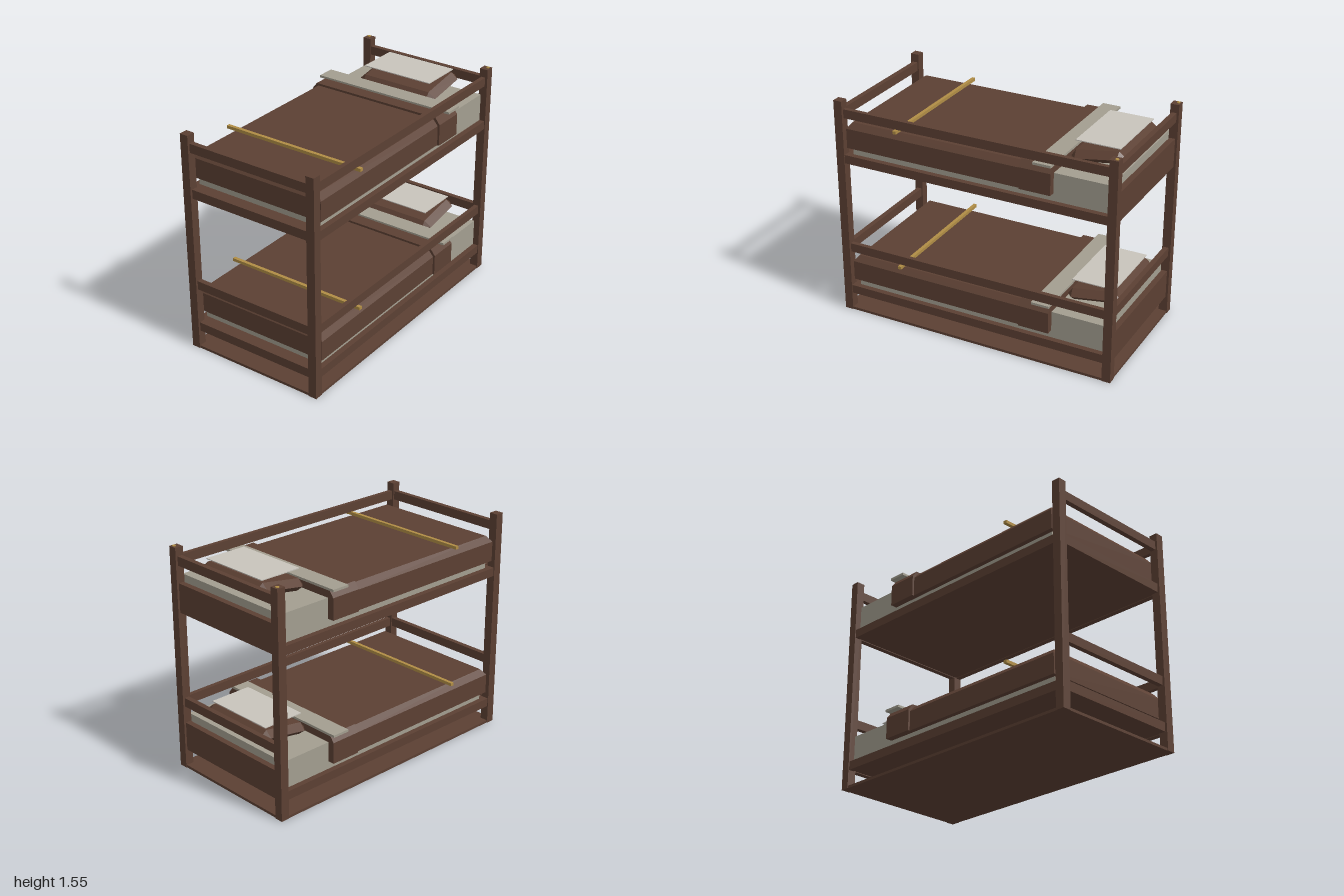
import * as THREE from 'three';
import { ConvexGeometry } from 'three/addons/geometries/ConvexGeometry.js';

const mat = (color) => new THREE.MeshStandardMaterial({ color, flatShading: true });

export function createModel() {
  const wood = mat(0x5c4033), linen = mat(0xa39e90), white = mat(0xc8c4bc), gold = mat(0xb08d45);
  const model = new THREE.Group();
  model.name = 'bunkBed';

  const add = (parent, name, geometry, material) => {
    const mesh = new THREE.Mesh(geometry, material);
    mesh.name = name;
    parent.add(mesh);
    return mesh;
  };
  // Box given by its minimum and maximum along each axis
  const box = (parent, name, material, [x0, x1], [y0, y1], [z0, z1]) => {
    const mesh = add(parent, name, new THREE.BoxGeometry(x1 - x0, y1 - y0, z1 - z0), material);
    mesh.position.set((x0 + x1) / 2, (y0 + y1) / 2, (z0 + z1) / 2);
    return mesh;
  };
  // Cover with straight sides, bevelled towards its top
  const cover = (parent, name, halfX, [y0, yBevel, y1], [z0, z1], insetX, insetZ) => {
    const points = [];
    for (const s of [-1, 1]) {
      for (const z of [z0, z1]) {
        points.push(new THREE.Vector3(s * halfX, y0, z), new THREE.Vector3(s * halfX, yBevel, z));
      }
      points.push(new THREE.Vector3(s * (halfX - insetX), y1, z0));
      points.push(new THREE.Vector3(s * (halfX - insetX), y1, z1 - insetZ));
    }
    return add(parent, name, new ConvexGeometry(points), wood);
  };

  // Corner posts, small caps on the back pair, and base
  for (const sx of [-1, 1]) {
    for (const sz of [-1, 1]) {
      const post = box(model, 'post', wood, [-0.03, 0.03], [0, 1.55], [-0.03, 0.03]);
      post.position.x = sx * 0.479;
      post.position.z = sz * 0.97;
    }
    const cap = add(model, 'postCap', new THREE.CylinderGeometry(0.012, 0.012, 0.01, 12), gold);
    cap.position.set(sx * 0.487, 1.55, -0.98);
  }
  box(model, 'base', wood, [-0.505, 0.505], [0, 0.018], [-0.995, 0.995]);

  // One bunk, with heights measured from the underside of its frame
  const makeBunk = (name, height) => {
    const bunk = new THREE.Group();
    bunk.name = name;
    bunk.position.y = height;
    model.add(bunk);

    // Frame: deck, low rails, guard rails and head panel
    box(bunk, 'deck', wood, [-0.47, 0.47], [0.005, 0.06], [-0.945, 0.945]);
    box(bunk, 'leftRail', wood, [0.465, 0.503], [0, 0.06], [-0.945, 0.945]);
    box(bunk, 'rightRail', wood, [-0.503, -0.465], [0, 0.06], [-0.945, 0.945]);
    box(bunk, 'footRail', wood, [-0.455, 0.455], [0, 0.063], [0.945, 0.985]);
    box(bunk, 'headPanel', wood, [-0.455, 0.455], [0, 0.2], [-0.985, -0.945]);
    box(bunk, 'footGuard', wood, [-0.455, 0.455], [0.318, 0.38], [0.95, 0.985]);
    box(bunk, 'headGuard', wood, [-0.455, 0.455], [0.318, 0.38], [-0.985, -0.95]);
    box(bunk, 'sideGuard', wood, [0.462, 0.492], [0.318, 0.38], [-0.945, 0.945]);

    // Bedding
    box(bunk, 'mattress', linen, [-0.465, 0.465], [0.055, 0.25], [-0.94, 0.895]);
    cover(bunk, 'blanket', 0.498, [0.113, 0.25, 0.29], [-0.36, 0.92], 0.035, 0.03);
    cover(bunk, 'blanketFold', 0.512, [0.113, 0.26, 0.305], [-0.56, -0.345], 0.035, 0);
    box(bunk, 'sheetFold', linen, [-0.52, 0.52], [0.302, 0.318], [-0.565, -0.44]);
    box(bunk, 'blanketTrim', gold, [-0.52, 0.52], [0.297, 0.318], [0.528, 0.552]);

    // Pillow: bevelled octagonal cushion, tilted up at the head
    const points = [];
    for (const sx of [-1, 1]) for (const sz of [-1, 1]) {
      for (const y of [-0.04, 0.04]) points.push(new THREE.Vector3(sx * 0.255, y, sz * 0.145));
      points.push(new THREE.Vector3(sx * 0.305, 0, sz * 0.14));
      points.push(new THREE.Vector3(sx * 0.255, 0, sz * 0.183));
    }
    const pillow = add(bunk, 'pillow', new ConvexGeometry(points), wood);
    pillow.position.set(0, 0.315, -0.757);
    pillow.rotation.x = 0.16;
    box(bunk, 'pillowCover', white, [-0.26, 0.26], [0.393, 0.399], [-0.905, -0.605]);
  };
  makeBunk('lowerBunk', 0.13);
  makeBunk('upperBunk', 1.112);

  return model;
}
